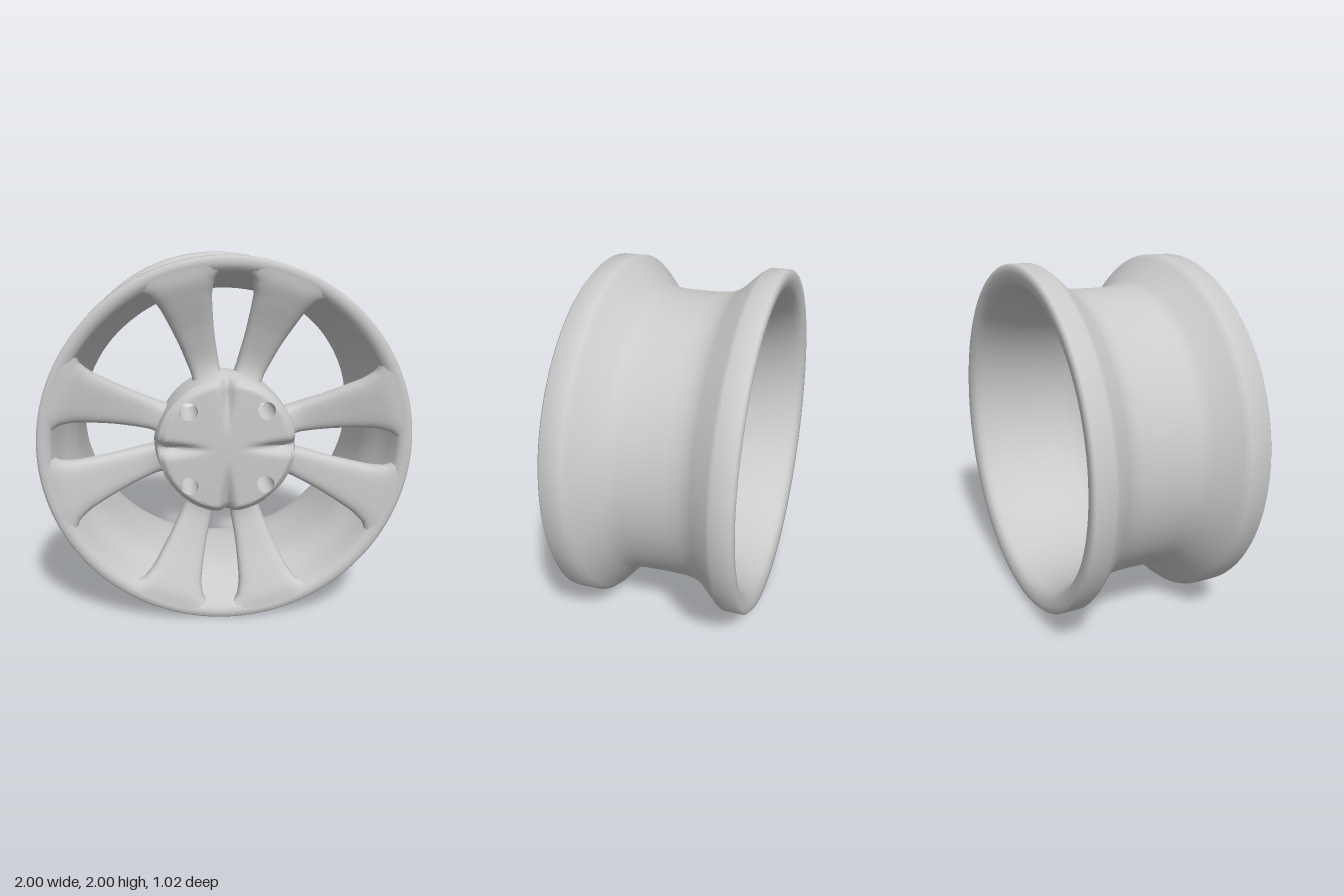
import * as THREE from 'three';
import { mergeGeometries, mergeVertices, toCreasedNormals } from 'three/addons/utils/BufferGeometryUtils.js';

const RAD = Math.PI / 180;
const material = new THREE.MeshStandardMaterial({ color: 0xcccccc });
const smooth = THREE.MathUtils.smoothstep;

// Grid surface from fn(i, j) -> [x, y, z]; faces look along di x dj.
function grid(ni, nj, fn) {
  const pos = [], idx = [];
  for (let i = 0; i <= ni; i++) for (let j = 0; j <= nj; j++) pos.push(...fn(i, j));
  for (let i = 0; i < ni; i++) for (let j = 0; j < nj; j++) {
    const a = i * (nj + 1) + j, b = a + nj + 1;
    idx.push(a, b, b + 1, a, b + 1, a + 1);
  }
  const g = new THREE.BufferGeometry();
  g.setAttribute('position', new THREE.Float32BufferAttribute(pos, 3));
  g.setIndex(idx);
  return g;
}

function finish(parts, crease) {
  const g = mergeVertices(mergeGeometries(parts), 1e-4);
  return toCreasedNormals(g, crease * RAD);
}

function mesh(name, geometry) {
  const m = new THREE.Mesh(geometry, material);
  m.name = name;
  return m;
}

// Barrel and both lips: one closed profile [radius, depth]
function makeRim() {
  const profile = [
    [0.862, -0.44], [0.875, -0.468], [0.9, -0.486], [0.935, -0.494], [0.968, -0.495], [0.98, -0.483], [0.98, -0.38], [0.965, -0.355],
    [0.875, -0.255], [0.85, -0.215], [0.835, -0.17], [0.828, -0.1], [0.826, 0], [0.829, 0.13],
    [0.838, 0.19], [0.86, 0.235], [0.975, 0.335], [1, 0.365], [1, 0.483], [0.987, 0.495],
    [0.96, 0.494], [0.935, 0.486], [0.92, 0.465], [0.905, 0.39], [0.862, 0.3], [0.828, 0.22], [0.813, 0.14],
    [0.808, 0], [0.81, -0.14], [0.818, -0.25], [0.837, -0.36], [0.862, -0.44],
  ].map(([r, z]) => new THREE.Vector2(r, z));
  const g = new THREE.LatheGeometry(profile, 120);
  g.rotateX(Math.PI / 2);
  g.deleteAttribute('uv');
  g.deleteAttribute('normal');
  return mesh('rim', finish([g], 50));
}

// Spoke: rounded cross-sections swept outwards, dished towards the hub
function makeSpoke() {
  // [radius, front depth, back depth] and [radius, half width in degrees]
  const depth = new THREE.CatmullRomCurve3([
    [0.3, 0.38, 0.19], [0.42, 0.34, 0.205], [0.62, 0.385, 0.265], [0.8, 0.455, 0.325], [0.89, 0.487, 0.375], [0.96, 0.495, 0.42],
  ].map((p) => new THREE.Vector3(...p)));
  const width = new THREE.CatmullRomCurve3([
    [0.3, 16], [0.42, 11], [0.62, 9.6], [0.8, 9.9], [0.89, 11.3], [0.96, 15.5],
  ].map(([r, w]) => new THREE.Vector3(r, w, 0)));
  const pow = (v) => Math.sign(v) * Math.abs(v) ** 0.6;
  const n = 30, k = 36;
  const g = grid(n, k, (i, j) => {
    const d = depth.getPoint(i / n), half = width.getPoint(i / n).y * RAD;
    const phi = -2 * Math.PI * (j % k) / k;
    const a = half * pow(Math.cos(phi));
    const z = (d.y + d.z) / 2 + (d.y - d.z) / 2 * pow(Math.sin(phi));
    return [d.x * Math.cos(a), d.x * Math.sin(a), z];
  });
  return finish([g], 60);
}

// Hub: four quadrants, each wrapped around a bolt hole, with radial grooves between them
function makeHub() {
  const R = 0.368, boltR = 0.29, holeR = 0.048;
  const front = (x, y) => {
    const r = Math.hypot(x, y), across = Math.min(Math.abs(x), Math.abs(y));
    const groove = 0.055 * smooth(r, 0.06, 0.36) * Math.exp(-((across / (0.01 + 0.06 * r)) ** 2));
    return 0.499 - 0.008 * (r / R) ** 2 - 0.03 * smooth(r, 0.32, R) ** 2 - groove;
  };
  const back = (x, y) => 0.17 + 0.21 * (1 - smooth(Math.hypot(x, y), 0, 0.335));

  // Quadrant outline, counter-clockwise from the centre
  const outline = [], S = 14, A = 32;
  for (let i = 0; i < S; i++) outline.push([R * i / S, 0]);
  for (let i = 0; i <= A; i++) outline.push([R * Math.cos(i / A * Math.PI / 2), R * Math.sin(i / A * Math.PI / 2)]);
  for (let i = S - 1; i >= 0; i--) outline.push([0, R * i / S]);
  const c = boltR * Math.SQRT1_2, n = 12;

  const quadrant = grid(2 * n + 1, outline.length - 1, (i, j) => {
    const isFront = i > n;
    const t = isFront ? (i - n - 1) / n : 1 - i / n;
    const [bx, by] = outline[j];
    const len = Math.hypot(bx - c, by - c);
    const hx = c + (bx - c) / len * holeR, hy = c + (by - c) / len * holeR;
    const x = hx + (bx - hx) * t, y = hy + (by - hy) * t;
    return [x, y, isFront ? front(x, y) : back(x, y)];
  });
  // Outer wall, swelling a little between the close pairs of spokes
  const wall = grid(10, A, (i, j) => {
    const [x, y] = outline[S + j];
    const swell = 0.015 + 0.045 * Math.cos(j / A * Math.PI) ** 4;
    const s = 1 + swell * Math.sin(i / 10 * Math.PI);
    return [x * s, y * s, THREE.MathUtils.lerp(front(x, y), back(x, y), i / 10)];
  });
  const parts = [];
  for (let q = 0; q < 4; q++) {
    for (const g of [quadrant, wall]) parts.push(g.clone().rotateZ(q * Math.PI / 2));
  }
  return mesh('hub', finish(parts, 70));
}

export function createModel() {
  const wheel = new THREE.Group();
  wheel.name = 'wheel';
  wheel.add(makeRim(), makeHub());

  // Four pairs of spokes
  const spokes = new THREE.Group();
  spokes.name = 'spokes';
  const geometry = makeSpoke();
  for (let q = 0; q < 4; q++) for (const side of [-1, 1]) {
    const spoke = mesh('spoke', geometry);
    spoke.rotation.z = (q * 90 + side * 17.6) * RAD;
    spokes.add(spoke);
  }
  spokes.rotation.z = -2.3 * RAD;
  wheel.add(spokes);

  // The wheel leans very slightly
  wheel.rotation.x = 0.015;
  wheel.position.y = 1.007;
  const model = new THREE.Group();
  model.name = 'wheelRim';
  model.add(wheel);
  return model;
}
